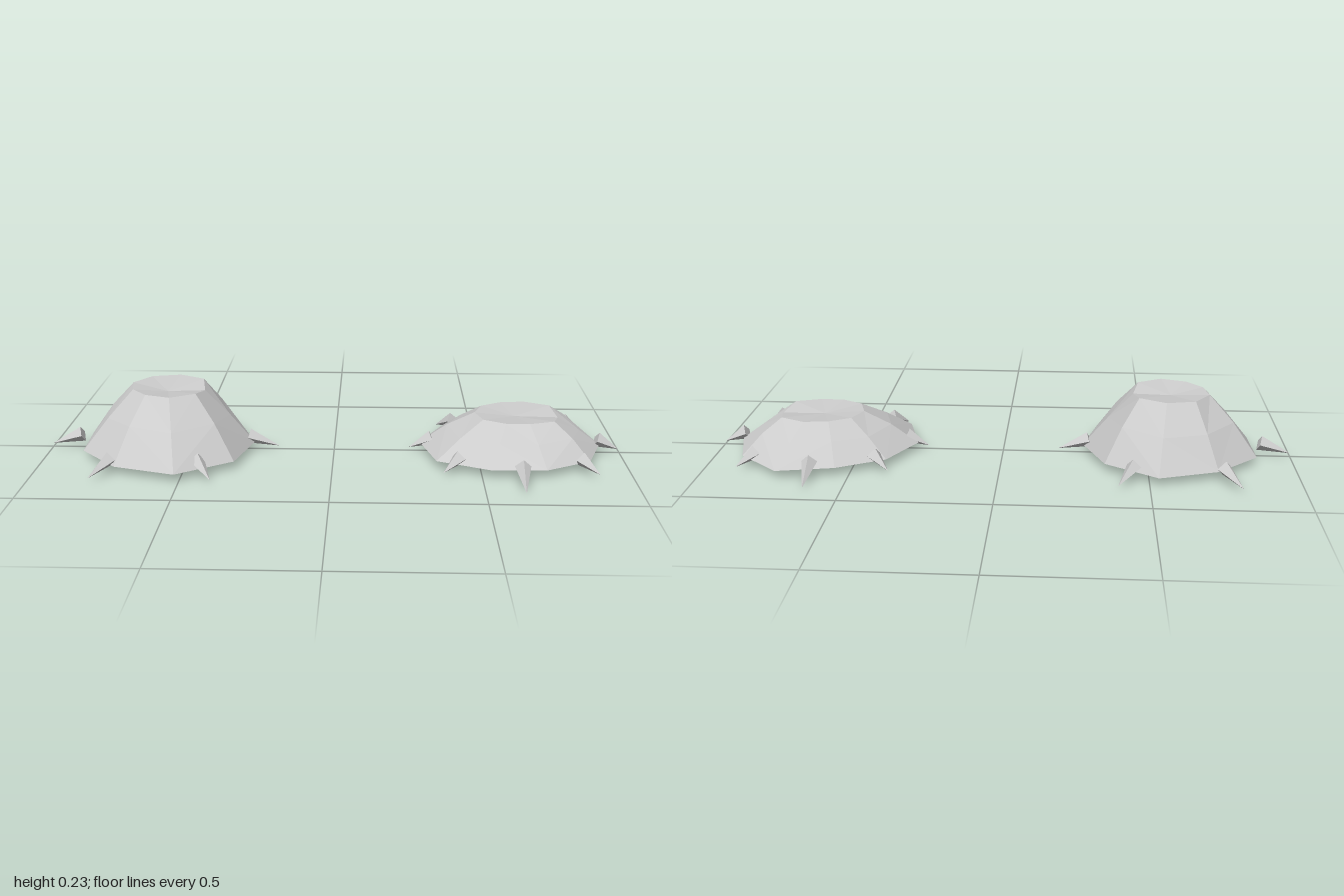
import * as THREE from 'three';

const BASE_Y = 0.027;

// Point on a ring, with the angle in degrees clockwise from the back
function ringPoint(x, y, z, radius, degrees) {
  const a = THREE.MathUtils.degToRad(degrees);
  return new THREE.Vector3(x + radius * Math.sin(a), y, z - radius * Math.cos(a));
}

// Faceted mound: irregular base outline, slightly bulged waist, rim, dished cap. Open below.
function moundGeometry({ x, z, turn, baseRadii, rimRadii, height, bulge, dish }) {
  const n = baseRadii.length;
  const angle = (i) => turn + (360 * i) / n;
  const lower = baseRadii.map((r, i) => ringPoint(x, BASE_Y, z, r, angle(i)));
  // The rim dips at its left-hand corner
  const upper = rimRadii.map((r, i) => ringPoint(x, height - (i === 2 ? 0.014 : 0), z, r, angle(i)));
  const waist = lower.map((p, i) => {
    const m = p.clone().lerp(upper[i], 0.5);
    m.y += bulge * (i % 2 ? 1.3 : 0.7);
    return m;
  });
  const centre = new THREE.Vector3(x, height - dish, z);
  const points = [];
  for (let i = 0; i < n; i++) {
    const j = (i + 1) % n;
    for (const [a, b] of [[lower, waist], [waist, upper]]) {
      if (i % 2) points.push(a[i], b[i], a[j], a[j], b[i], b[j]);
      else points.push(a[i], b[i], b[j], a[i], b[j], a[j]);
    }
    points.push(upper[i], centre, upper[j]);
  }
  const geometry = new THREE.BufferGeometry().setFromPoints(points);
  geometry.computeVertexNormals();
  return geometry;
}

// Four-sided spike lying outward from the mound, its tip drooping to the ground
function makeSpike(x, degrees, tipRadius, length, material) {
  const start = ringPoint(x, 0.048, 0, tipRadius - length, degrees);
  const tip = ringPoint(x, length > 0.11 ? 0 : 0.012, 0, tipRadius, degrees);
  const geometry = new THREE.ConeGeometry(0.027, start.distanceTo(tip), 4);
  geometry.rotateX(Math.PI / 2);
  const spike = new THREE.Mesh(geometry, material);
  spike.name = 'spike';
  spike.position.copy(start).lerp(tip, 0.5);
  spike.lookAt(tip);
  return spike;
}

export function createModel() {
  const stone = new THREE.MeshStandardMaterial({ color: 0xcccccc, flatShading: true, side: THREE.DoubleSide });
  stone.name = 'pale grey';

  const mounds = [
    {
      name: 'tallMound', x: -0.58, z: 0.01, turn: 9, height: 0.23, bulge: 0.01, dish: 0.018,
      baseRadii: [0.324, 0.3, 0.3, 0.32, 0.34, 0.303, 0.304, 0.31, 0.29],
      rimRadii: [0.15, 0.149, 0.13, 0.141, 0.141, 0.123, 0.122, 0.136, 0.146],
      spikeX: -0.597, spikes: 6, tipRadius: () => 0.403, spikeLength: () => 0.108,
    },
    {
      name: 'lowMound', x: 0.63, z: -0.01, turn: 19, height: 0.139, bulge: 0.008, dish: 0.012,
      baseRadii: [0.334, 0.31, 0.3, 0.3, 0.285, 0.296, 0.34, 0.33, 0.305, 0.288],
      rimRadii: [0.143, 0.161, 0.15, 0.157, 0.131, 0.131, 0.142, 0.14, 0.136, 0.13],
      // The front and back spikes reach further
      spikeX: 0.63, spikes: 8, tipRadius: (i) => (i % 4 ? 0.367 : 0.402), spikeLength: (i) => (i % 4 ? 0.08 : 0.12),
    },
  ];

  const model = new THREE.Group();
  model.name = 'spikedMounds';
  for (const mound of mounds) {
    const group = new THREE.Group();
    group.name = mound.name;
    const shell = new THREE.Mesh(moundGeometry(mound), stone);
    shell.name = 'shell';
    group.add(shell);
    const first = mound.spikes === 6 ? 30 : 0;
    for (let i = 0; i < mound.spikes; i++) {
      const degrees = first + (360 * i) / mound.spikes;
      group.add(makeSpike(mound.spikeX, degrees, mound.tipRadius(i), mound.spikeLength(i), stone));
    }
    model.add(group);
  }
  return model;
}
